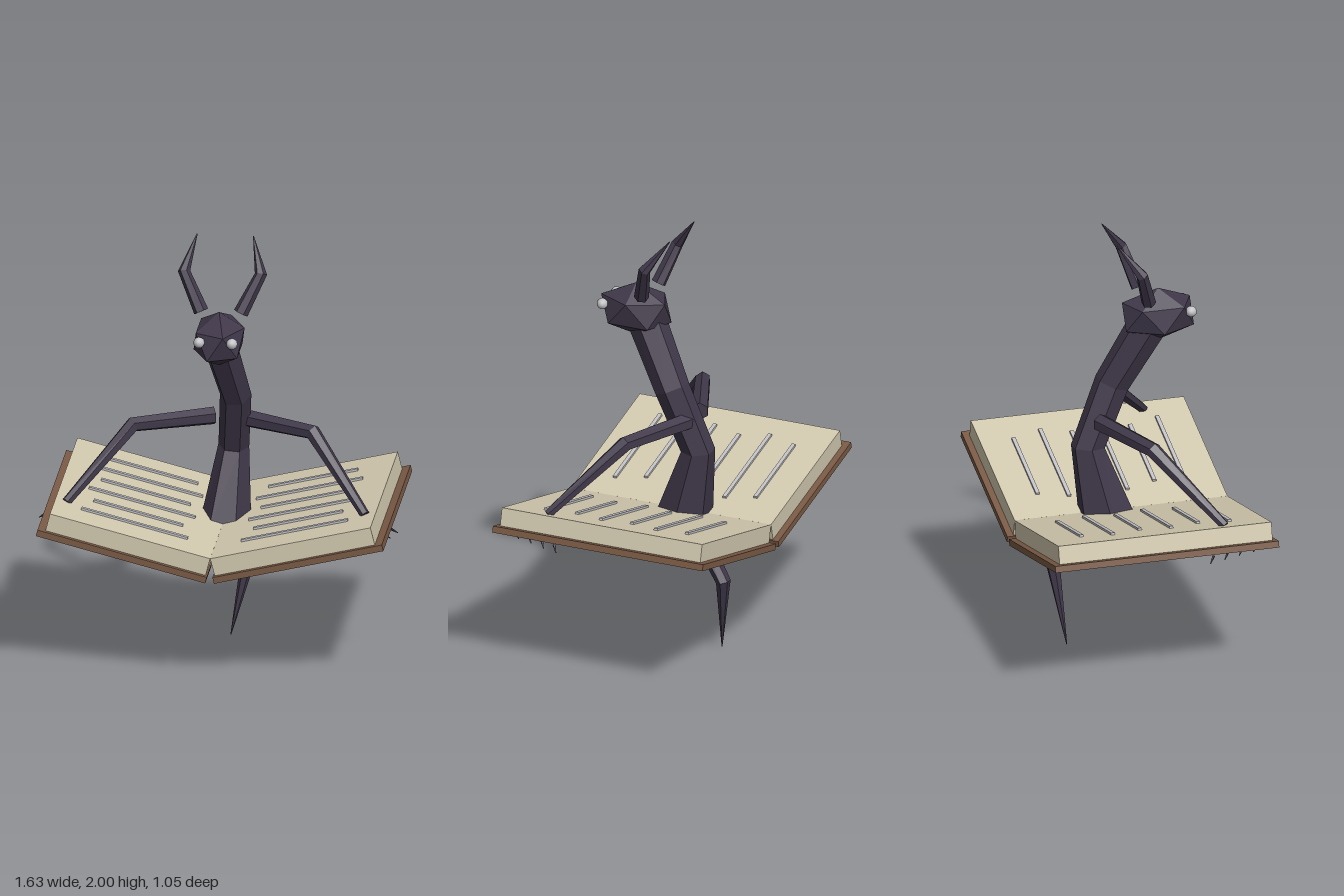
import * as THREE from 'three';
import { ConvexGeometry } from 'three/addons/geometries/ConvexGeometry.js';

const V = (p) => new THREE.Vector3(...p);
const mat = (name, color) => {
  const m = new THREE.MeshStandardMaterial({ color });
  m.name = name;
  return m;
};

// Faceted limb: rings of given radii along a bent path; ref sets the ring's first corner
function limb(points, radii, ref, sides = 6, depth = 1) {
  const P = points.map(V);
  const dir = (i) => P[i + 1].clone().sub(P[i]).normalize();
  const rings = P.map((p, i) => {
    const t = new THREE.Vector3();
    if (i > 0) t.add(dir(i - 1));
    if (i < P.length - 1) t.add(dir(i));
    t.normalize();
    const n = V(ref).addScaledVector(t, -V(ref).dot(t)).normalize();
    const b = t.clone().cross(n);
    return Array.from({ length: sides }, (_, j) => {
      const a = (j / sides) * Math.PI * 2;
      return p.clone()
        .addScaledVector(n, Math.cos(a) * radii[i])
        .addScaledVector(b, Math.sin(a) * radii[i] * depth);
    });
  });
  const out = [];
  const tri = (...vs) => vs.forEach((v) => out.push(v.x, v.y, v.z));
  const last = P.length - 1;
  for (let j = 0; j < sides; j++) {
    const k = (j + 1) % sides;
    for (let i = 0; i < last; i++) {
      const [a, b, c, d] = [rings[i][j], rings[i][k], rings[i + 1][k], rings[i + 1][j]];
      tri(a, b, c);
      tri(a, c, d);
    }
    tri(P[0], rings[0][k], rings[0][j]);
    tri(P[last], rings[last][j], rings[last][k]);
  }
  const g = new THREE.BufferGeometry();
  g.setAttribute('position', new THREE.Float32BufferAttribute(out, 3));
  g.computeVertexNormals();
  return g;
}

// Twelve-cornered faceted head with a corner at the top and bottom
function headGeometry(rx, ry, rz) {
  const pts = [V([0, ry, 0]), V([0, -ry, 0])];
  for (const s of [1, -1]) {
    for (let i = 0; i < 5; i++) {
      const a = (i / 5) * Math.PI * 2;
      pts.push(V([s * 0.894 * Math.cos(a) * rx, s * 0.447 * ry, 0.894 * Math.sin(a) * rz]));
    }
  }
  return new ConvexGeometry(pts);
}

export function createModel() {
  const model = new THREE.Group();
  const skin = mat('dark skin', 0x40384a);
  const leather = mat('brown cover', 0x7a5a45);
  const paper = mat('paper', 0xd2c9af);
  const silver = mat('silver', 0xc2c2c6);

  const add = (name, geo, material, parent = model, pos = [0, 0, 0]) => {
    const m = new THREE.Mesh(geo, material);
    m.name = name;
    m.position.set(...pos);
    parent.add(m);
    return m;
  };

  for (const s of [1, -1]) {
    const side = s > 0 ? 'left' : 'right';

    // Open book half, tilted up from the spine
    const half = new THREE.Group();
    half.name = side + 'BookHalf';
    half.position.set(s * 0.02, 0.53, 0);
    half.rotation.z = s * 0.245;
    model.add(half);
    add(side + 'Cover', new THREE.BoxGeometry(0.795, 0.03, 1.05), leather, half, [s * 0.3975, 0.015, 0]);
    add(side + 'Pages', new THREE.BoxGeometry(0.752, 0.084, 1.0), paper, half, [s * 0.384, 0.072, 0.005]);

    // Raised text bars, alternating short and long
    for (let i = 0; i < 6; i++) {
      const bar = new THREE.BoxGeometry(i % 2 ? 0.5 : 0.42, 0.012, 0.018);
      add(side + 'PageBar', bar, silver, half, [s * 0.384, 0.118, -0.341 + i * 0.137]);
    }

    // Arm resting its tip on the page
    add(side + 'Arm', limb(
      [[s * 0.06, 1.105, -0.11], [s * 0.41, 1.1, 0.04], [s * 0.68, 0.81, 0.3]],
      [0.042, 0.037, 0.022], [0, 1, 0]), skin);

    // Small claws under the cover edge
    for (let i = 0; i < 4; i++) {
      const x = 0.788 - i * 0.025;
      const z = 0.205 + i * 0.074;
      add(side + 'Claw', limb(
        [[s * x, 0.717, z + 0.012], [s * (x + 0.028), 0.692, z - 0.01]],
        [0.007, 0.002], [0, 0, 1], 5), skin);
    }

    // Bent horn
    add(side + 'Horn', limb(
      [[s * 0.09, 1.685, 0.11], [s * 0.175, 1.857, 0.055], [s * 0.128, 2.0, -0.05]],
      [0.034, 0.028, 0.002], [1, 0, 0]), skin);

    add(side + 'Eye', new THREE.IcosahedronGeometry(0.026, 1), silver, model, [s * 0.075, 1.61, 0.313]);
  }

  // Body rising out of the book
  add('body', limb(
    [[0, 0.6, -0.06], [0.027, 0.955, -0.143], [0.05, 1.245, -0.025], [-0.003, 1.54, 0.13]],
    [0.118, 0.07, 0.072, 0.08], [1, 0, 0], 6, 1.15), skin);

  // Tail hanging below the spine
  add('tail', limb(
    [[0, 0.64, -0.08], [0.075, 0.355, -0.292], [0, 0, -0.25]],
    [0.045, 0.034, 0.002], [1, 0, 0]), skin);

  add('head', headGeometry(0.13, 0.127, 0.187), skin, model, [0, 1.584, 0.178]);

  return model;
}
